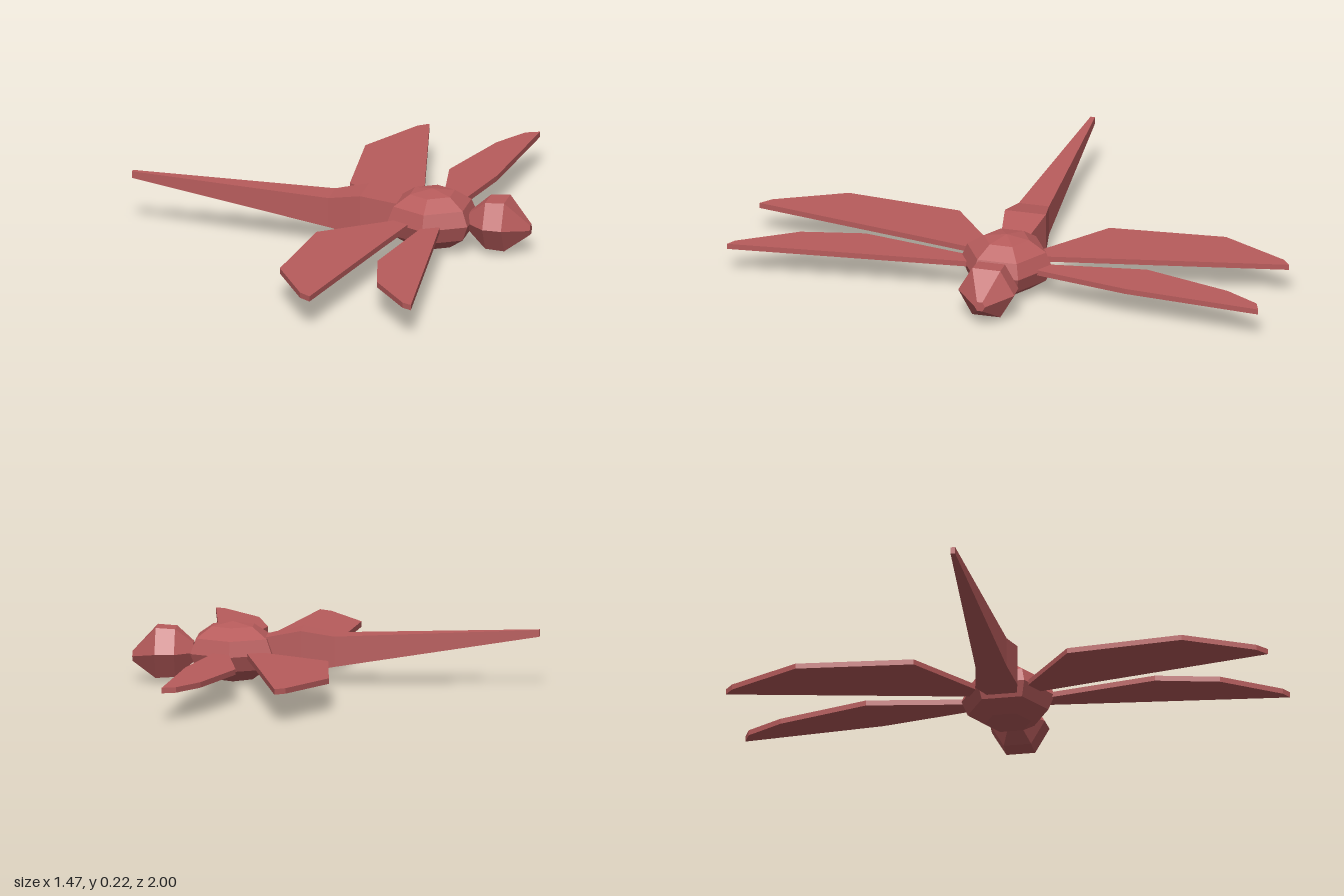
import * as THREE from 'three';

const material = new THREE.MeshStandardMaterial({ color: 0xb85c5c, flatShading: true });

function add(group, name, geometry) {
  const mesh = new THREE.Mesh(geometry, material);
  mesh.name = name;
  group.add(mesh);
  return mesh;
}

// Solid with rectangular sections along x: [x, bottom, top, zMin, zMax]
function boxLoft(sections) {
  const pos = [], idx = [];
  for (const [x, b, t, z0, z1] of sections) pos.push(x, b, z0, x, b, z1, x, t, z1, x, t, z0);
  const last = (sections.length - 1) * 4;
  for (let s = 0; s < last; s += 4) {
    for (let k = 0; k < 4; k++) {
      const a = s + k, b = s + (k + 1) % 4;
      idx.push(a, a + 4, b, b, a + 4, b + 4);
    }
  }
  idx.push(0, 1, 2, 0, 2, 3, last, last + 2, last + 1, last, last + 3, last + 2);
  const g = new THREE.BufferGeometry();
  g.setAttribute('position', new THREE.Float32BufferAttribute(pos, 3));
  g.setIndex(idx);
  g.computeVertexNormals();
  return g;
}

// Thin flat wing from an outline of [x, z] points
function wing(outline) {
  const shape = new THREE.Shape(outline.map(([x, z]) => new THREE.Vector2(x, -z)));
  return new THREE.ExtrudeGeometry(shape, { depth: 0.02, bevelEnabled: false })
    .rotateX(-Math.PI / 2).translate(0, 0.105, 0);
}

export function createModel() {
  const model = new THREE.Group();
  model.name = 'dragonfly';

  // Thorax: flattened six-sided ball with corners toward +z and -z
  add(model, 'thorax', new THREE.SphereGeometry(0.17, 6, 6)
    .rotateY(Math.PI / 6).scale(1, 0.11 / 0.17, 1).translate(0.37, 0.115, -0.01));

  // Head: six-sided turned form, narrowing to a snout that dips slightly
  const profile = [[0, 0.51], [0.04, 0.51], [0.1, 0.575], [0.105, 0.645], [0.02, 0.732], [0, 0.732]];
  const head = new THREE.LatheGeometry(profile.map(([r, x]) => new THREE.Vector2(r, x)), 6)
    .rotateZ(-Math.PI / 2).translate(0, 0.113, -0.012);
  const p = head.attributes.position;
  for (let i = 0; i < p.count; i++) if (p.getX(i) > 0.7) p.setY(i, p.getY(i) - 0.018);
  head.computeVertexNormals();
  add(model, 'head', head);

  // Tail: swells behind the thorax, then tapers and rises
  add(model, 'tail', boxLoft([
    [-0.737, 0.183, 0.208, -0.025, -0.008],
    [0, 0.07, 0.18, -0.063, 0.05],
    [0.12, 0.05, 0.202, -0.085, 0.068],
    [0.27, 0.08, 0.17, -0.06, 0.04],
  ]));

  // Wings, each with its own slightly uneven outline
  const wings = {
    rightForeWing: [[0.38, 0.06], [0.29, 0.54], [0.34, 0.77], [0.48, 0.975], [0.515, 0.995], [0.445, 0.3], [0.42, 0.06]],
    leftForeWing: [[0.385, -0.08], [0.318, -0.52], [0.418, -0.85], [0.495, -0.98], [0.545, -1], [0.502, -0.49], [0.42, -0.08]],
    rightHindWing: [[0.28, 0.06], [0.005, 0.27], [-0.035, 0.695], [0.095, 0.945], [0.138, 0.98], [0.265, 0.33], [0.32, 0.06]],
    leftHindWing: [[0.29, -0.08], [0.003, -0.29], [-0.035, -0.715], [0.1, -0.97], [0.138, -1], [0.26, -0.38], [0.32, -0.08]],
  };
  for (const [name, outline] of Object.entries(wings)) add(model, name, wing(outline));

  return model;
}
